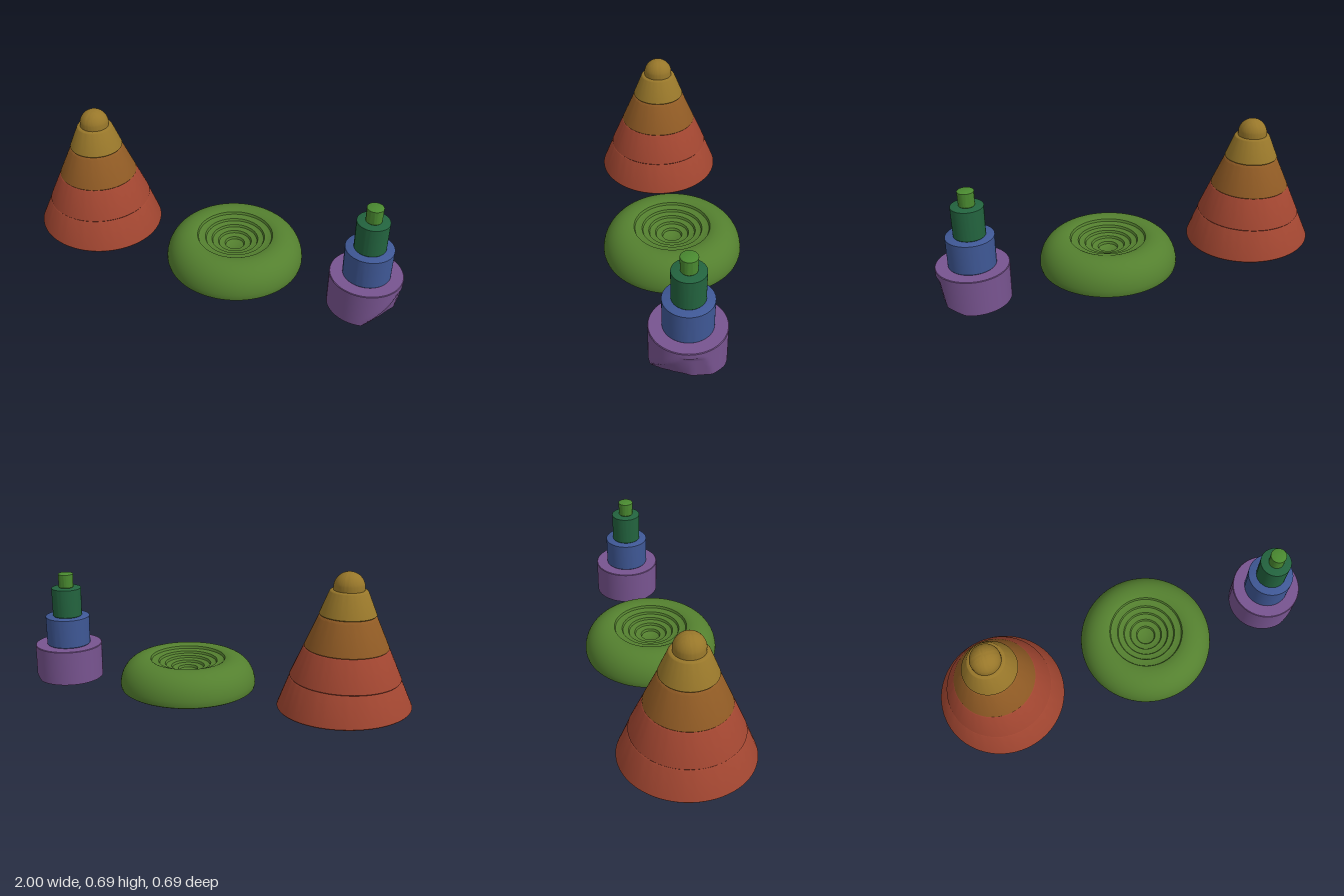
import * as THREE from 'three';
import { toCreasedNormals } from 'three/addons/utils/BufferGeometryUtils.js';

const paint = (name, color) => {
  const m = new THREE.MeshStandardMaterial({ color });
  m.name = name;
  return m;
};

// Turned part from [radius, height] pairs, bottom to top, with an optional vertex rule
function turned(name, material, profile, rule) {
  let geo = new THREE.LatheGeometry(profile.map(([r, y]) => new THREE.Vector2(r, y)), 72);
  if (rule) {
    const p = geo.attributes.position;
    const v = new THREE.Vector3();
    for (let i = 0; i < p.count; i++) {
      rule(v.fromBufferAttribute(p, i));
      p.setXYZ(i, v.x, v.y, v.z);
    }
  }
  geo = toCreasedNormals(geo, 0.6);
  const mesh = new THREE.Mesh(geo, material);
  mesh.name = name;
  return mesh;
}

// Closed tier with softly rounded top edge
const tier = (r0, y0, r1, y1, e = 0.006) => [
  [0, y0], [r0 - 0.003, y0], [r0, y0 + 0.004], [r1 + e * 0.5, y1 - e],
  [r1, y1 - e * 0.4], [r1 - e, y1], [0, y1],
];

export function createModel() {
  const red = paint('brick red', 0xa04530);
  const orange = paint('burnt orange', 0x8f5a24);
  const yellow = paint('ochre', 0x98772a);
  const green = paint('leaf green', 0x54802f);
  const lime = paint('bright green', 0x4a8a30);
  const darkGreen = paint('dark green', 0x23643f);
  const blue = paint('blue', 0x3f5896);
  const purple = paint('purple', 0x785490);

  const model = new THREE.Group();
  model.name = 'turnedShapes';

  // Tiered cone with a slightly slanted base
  const cone = new THREE.Group();
  cone.name = 'tieredCone';
  cone.position.set(-0.677, 0, 0);
  cone.add(
    turned('coneBase', red, tier(0.323, 0.03, 0.264, 0.178), (v) => {
      if (v.y < 0.05) v.y -= v.x * 0.035;
    }),
    turned('coneLowerTier', red, tier(0.266, 0.176, 0.201, 0.328)),
    turned('coneMiddleTier', orange, tier(0.201, 0.326, 0.133, 0.484, 0.012)),
    turned('coneUpperTier', yellow, tier(0.135, 0.484, 0.088, 0.603, 0.007)),
  );
  const cap = [[0.073, 0.6], [0.073, 0.628]];
  for (let i = 1; i <= 10; i++) {
    const a = (i / 10) * Math.PI / 2;
    cap.push([0.018 * (1 - i / 10) + 0.055 * Math.cos(a), 0.628 + 0.061 * Math.sin(a)]);
  }
  cone.add(turned('coneTip', yellow, cap));
  model.add(cone);

  // Domed ring with a stepped hollow in the middle
  const dish = [[0, 0.031], [0.335, 0.031], [0.343, 0.036], [0.346, 0.05]];
  for (let i = 1; i <= 12; i++) {
    const a = (i / 12) * Math.PI / 2;
    dish.push([0.226 + 0.12 * Math.cos(a), 0.05 + 0.134 * Math.sin(a)]);
  }
  dish.push([0.2, 0.183], [0.19, 0.178]);
  let floor = 0.178;
  for (const [outer, inner] of [[0.185, 0.15], [0.145, 0.117], [0.112, 0.084], [0.079, 0.05], [0.045, 0]]) {
    floor -= 0.014;
    dish.push([outer, floor + 0.002], [outer - 0.004, floor], [inner, floor - 0.001]);
  }
  const ring = turned('hollowDome', green, dish);
  ring.position.set(0.132, 0, -0.002);
  model.add(ring);

  // Stepped tower
  const tower = new THREE.Group();
  tower.name = 'steppedTower';
  tower.position.set(0.822, 0, -0.006);

  // Drum whose lower outer side is worn to a slanted facet
  const drum = [];
  for (let i = 0; i <= 8; i++) drum.push([0.176 * i / 8, 0.003]);
  for (let i = 1; i <= 14; i++) drum.push([0.176, 0.003 + 0.178 * i / 14]);
  drum.push([0.173, 0.184], [0, 0.184]);
  tower.add(turned('towerDrum', purple, drum, (v) => {
    if (v.y < 0.15) {
      const slant = 0.6 * Math.max(v.z, 0) * (1 - v.y / 0.15);
      v.x = Math.min(v.x, 0.152 + 0.13 * (v.y - 0.03) - slant);
    }
    if (v.y < 0.03) v.y = Math.max(v.y, 0.027 * THREE.MathUtils.smoothstep(v.x, 0.06, 0.15));
  }));

  for (const [name, mat, r, y0, y1] of [
    ['towerLowerStep', blue, 0.114, 0.183, 0.338],
    ['towerMiddleStep', darkGreen, 0.076, 0.337, 0.491],
    ['towerPeg', lime, 0.038, 0.49, 0.566],
  ]) tower.add(turned(name, mat, tier(r, y0, r, y1, 0.003)));
  model.add(tower);

  return model;
}
